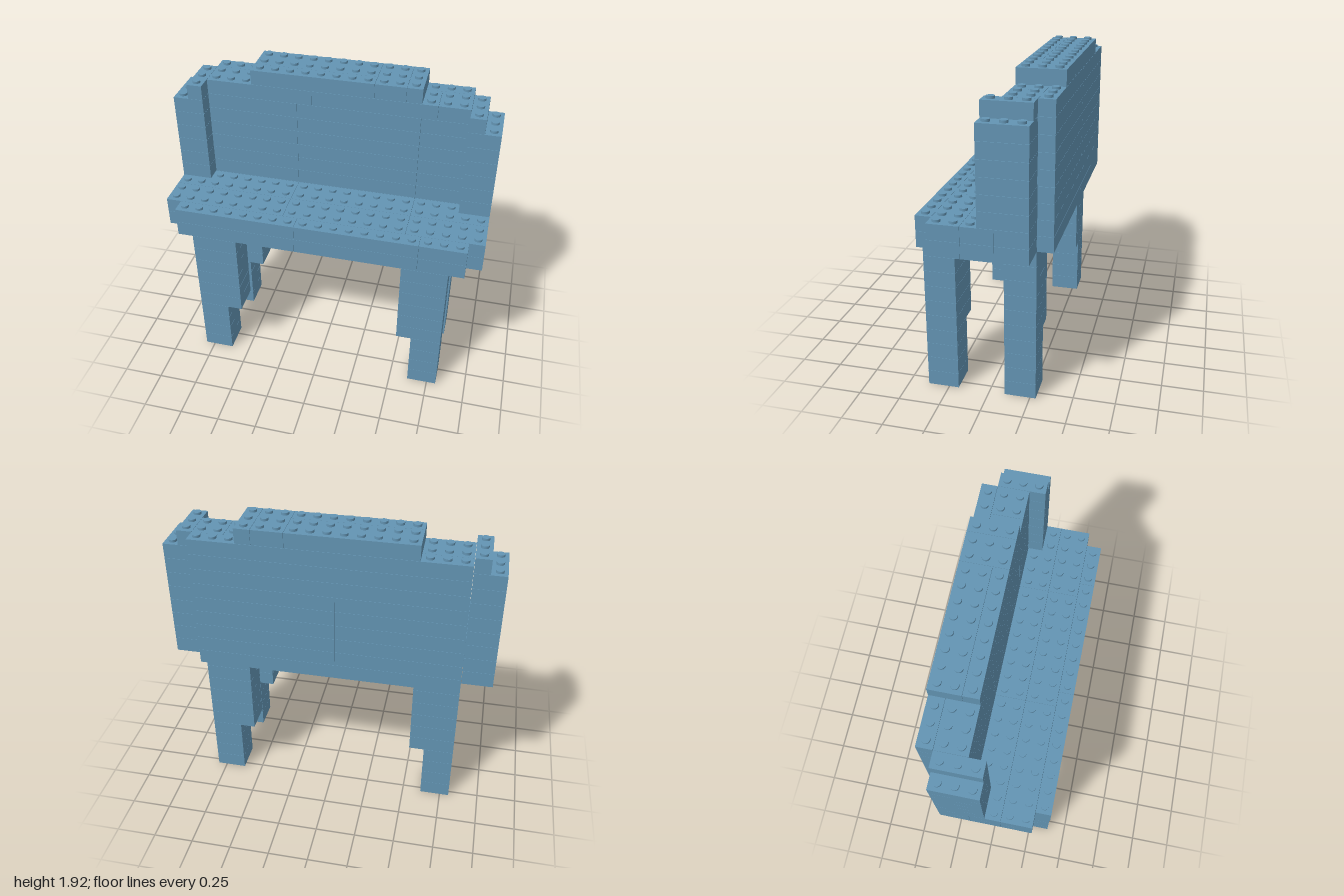
import * as THREE from 'three';
import { mergeGeometries } from 'three/addons/utils/BufferGeometryUtils.js';

const P = 2 / 21;      // stud pitch
const H = 0.0955;      // brick height
const GAP = 0.0015;    // seam between bricks
const STUD_R = 0.024, STUD_H = 0.014;

export function createModel() {
  const model = new THREE.Group();
  model.name = 'brickBench';
  const blue = new THREE.MeshStandardMaterial({ color: 0x6394b3 });
  blue.name = 'sandBlue';

  const filled = new Set();
  const parts = {};
  const key = (c, l, r) => `${c},${l},${r}`;
  const colX = c => -1 + c * P;      // column 0 is at -x
  const rowZ = r => (r - 4) * P;     // row 0 is at the back

  // One brick covering columns c0..c1 and rows r0..r1 on a layer
  function brick(part, layer, c0, c1, r0, r1) {
    const g = new THREE.BoxGeometry((c1 - c0) * P - GAP, H - GAP, (r1 - r0) * P - GAP);
    g.translate((colX(c0) + colX(c1)) / 2, (layer + 0.5) * H, (rowZ(r0) + rowZ(r1)) / 2);
    const p = (parts[part] ??= { bricks: [], cells: [] });
    p.bricks.push(g);
    for (let c = c0; c < c1; c++) for (let r = r0; r < r1; r++) {
      filled.add(key(c, layer, r));
      p.cells.push([c, layer, r]);
    }
  }

  // A course of bricks, split at the given columns
  function course(part, layer, cuts, r0, r1) {
    for (let i = 0; i + 1 < cuts.length; i++) brick(part, layer, cuts[i], cuts[i + 1], r0, r1);
  }

  // Legs: four narrow courses, then six that widen inwards
  for (const [name, r0] of [['back', 1], ['front', 6]]) {
    for (let l = 0; l < 10; l++) {
      const w = l < 4 ? 2 : 3;
      brick(name + 'RightLeg', l, 2, 2 + w, r0, r0 + 2);
      brick(name + 'LeftLeg', l, 19 - w, 19, r0, r0 + 2);
    }
  }

  // Seat: two courses with notched corners
  for (const l of [10, 11]) {
    course('seat', l, [2, 10, 19], 0, 1);
    course('seat', l, [0, 2, 8, 16, 19, 21], 1, 3);
    course('seat', l, [0, 8, 16, 21], 3, 5);
    course('seat', l, [0, 8, 16, 21], 5, 7);
    course('seat', l, [1, 9, 17, 20], 7, 8);
  }

  // Backrest panel and the wings at its ends
  for (let l = 12; l < 18; l++) {
    course('backrest', l, [2, 10, 19], 0, 1);
    course('backrest', l, [2, 8, 16, 19], 1, 3);
    brick('rightWing', l, 0, 2, 1, 4);
    brick('leftWing', l, 19, 21, 1, 4);
  }

  // Stepped top
  course('backrest', 18, [2, 10, 19], 0, 1);
  course('backrest', 18, [2, 9, 17, 19], 1, 3);
  brick('rightWing', 18, 1, 2, 1, 4);
  brick('leftWing', 18, 19, 20, 1, 4);
  brick('topRail', 19, 5, 13, 0, 2);
  brick('topRail', 19, 5, 13, 2, 3);
  course('topRail', 19, [13, 15, 16], 0, 3);

  // Studs on every uncovered brick top
  const stud = new THREE.CylinderGeometry(STUD_R, STUD_R, STUD_H + GAP, 16);
  for (const [name, { bricks, cells }] of Object.entries(parts)) {
    const group = new THREE.Group();
    group.name = name;
    const body = new THREE.Mesh(mergeGeometries(bricks), blue);
    body.name = name + 'Bricks';
    group.add(body);
    const studs = cells
      .filter(([c, l, r]) => !filled.has(key(c, l + 1, r)))
      .map(([c, l, r]) => stud.clone().translate(
        colX(c + 0.5), (l + 1) * H + (STUD_H - GAP) / 2, rowZ(r + 0.5)));
    if (studs.length) {
      const mesh = new THREE.Mesh(mergeGeometries(studs), blue);
      mesh.name = name + 'Studs';
      group.add(mesh);
    }
    model.add(group);
  }
  return model;
}
